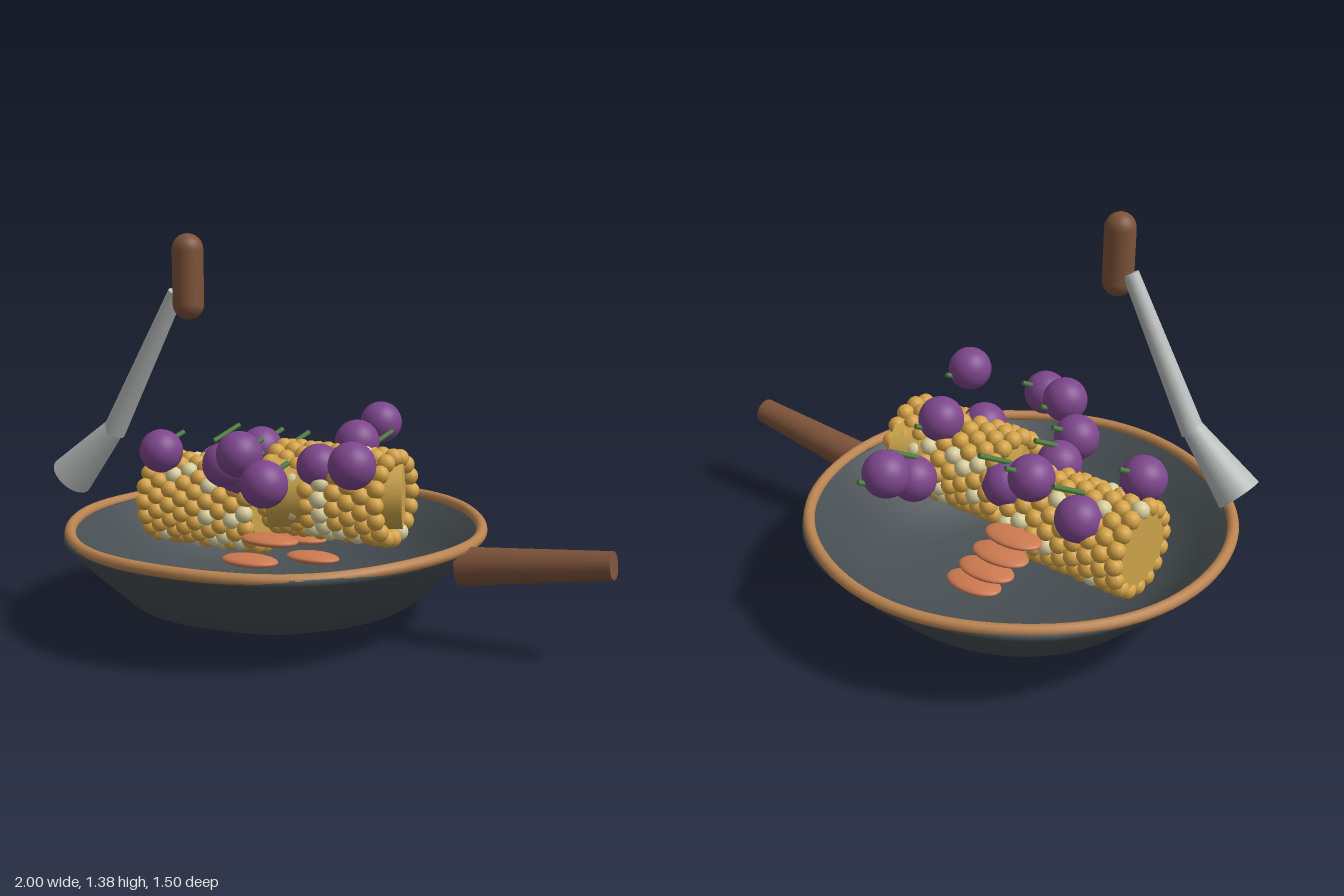
import * as THREE from 'three';
import { mergeGeometries } from 'three/addons/utils/BufferGeometryUtils.js';

const mat = (name, color) => {
  const m = new THREE.MeshStandardMaterial({ color });
  m.name = name;
  return m;
};

export function createModel() {
  const model = new THREE.Group();
  const steel = mat('dark steel', 0x474e52);
  const copper = mat('copper rim', 0xb98350);
  const wood = mat('brown wood', 0x7c5239);
  const metal = mat('light metal', 0xb6bab8);
  const cobGold = mat('cob gold', 0xcba34b);
  const kernelGold = mat('kernel gold', 0xd4a246);
  const kernelPale = mat('kernel pale', 0xd8cd9c);
  const purple = mat('purple skin', 0x7d468c);
  const green = mat('green stem', 0x4c7d40);
  const orange = mat('orange slice', 0xcd7a50);

  const add = (name, geometry, material, parent = model) => {
    const mesh = new THREE.Mesh(geometry, material);
    mesh.name = name;
    parent.add(mesh);
    return mesh;
  };

  // Tapered round bar between two points
  const bar = (name, from, to, r0, r1, material, sides = 24) => {
    const a = new THREE.Vector3(...from), b = new THREE.Vector3(...to);
    const dir = b.clone().sub(a);
    const mesh = add(name, new THREE.CylinderGeometry(r1, r0, dir.length(), sides), material);
    mesh.position.copy(a).add(b).multiplyScalar(0.5);
    mesh.quaternion.setFromUnitVectors(new THREE.Vector3(0, 1, 0), dir.normalize());
    return mesh;
  };

  // Pan bowl: outside wall up, over the lip and down the inside, slightly hand-beaten
  const profile = [
    [0, 0], [0.1, 0.002], [0.35, 0.04], [0.52, 0.1], [0.64, 0.215], [0.74, 0.32], [0.735, 0.34],
    [0.71, 0.335], [0.62, 0.24], [0.5, 0.13], [0.34, 0.07], [0.1, 0.035], [0, 0.03],
  ].map(([x, y]) => new THREE.Vector2(x, y));
  const bowl = new THREE.LatheGeometry(profile, 64);
  const p = bowl.attributes.position;
  for (let i = 0; i < p.count; i++) {
    const x = p.getX(i), z = p.getZ(i), angle = Math.atan2(z, x);
    const s = 1 - 0.02 * Math.cos(4 * angle) * Math.hypot(x, z);
    p.setX(i, x * s);
    p.setZ(i, z * (s + 0.012));
  }
  add('panBowl', bowl, steel).position.x = -0.25;

  // Gently wavy rim
  const rim = new THREE.TorusGeometry(0.73, 0.02, 12, 80).rotateX(Math.PI / 2);
  const rp = rim.attributes.position;
  for (let i = 0; i < rp.count; i++) {
    const angle = Math.atan2(rp.getZ(i), rp.getX(i));
    rp.setY(i, rp.getY(i) + 0.004 * Math.sin(5 * angle));
  }
  add('panRim', rim, copper).position.set(-0.25, 0.34, 0);

  bar('panHandle', [0.465, 0.275, 0], [0.99, 0.34, -0.015], 0.066, 0.047, wood, 32);

  // Serving spoon: grip, shaft and flared end
  const grip = add('spoonGrip', new THREE.CapsuleGeometry(0.053, 0.184, 6, 24), wood);
  grip.position.set(-0.418, 1.235, 0.292);
  bar('spoonShaft', [-0.74, 0.68, 0.295], [-0.468, 1.18, 0.29], 0.04, 0.028, metal);
  bar('spoonFlare', [-0.925, 0.505, 0.302], [-0.73, 0.7, 0.295], 0.078, 0.036, metal);

  // Corn cobs: a smooth core wrapped in staggered rings of kernels
  let seed = 7;
  const rand = () => (seed = (seed * 16807) % 2147483647) / 2147483647;
  const kernel = new THREE.SphereGeometry(0.032, 10, 8);
  const cob = (name, x, y, z, coreYaw) => {
    const group = new THREE.Group();
    group.name = name;
    group.position.set(x, y, z);
    model.add(group);
    const core = add('cobCore', new THREE.CylinderGeometry(0.125, 0.13, 0.47, 32), cobGold, group);
    core.rotation.set(0, coreYaw, -Math.PI / 2, 'YXZ');
    const gold = [], pale = [];
    const rings = 9, around = 16;
    for (let i = 0; i < rings; i++) {
      for (let j = 0; j < around; j++) {
        const a = ((j + (i % 2) / 2) / around) * Math.PI * 2;
        const g = kernel.clone().translate(
          (i / (rings - 1) - 0.5) * 0.43, Math.cos(a) * 0.142, Math.sin(a) * 0.142);
        (rand() < 0.2 ? pale : gold).push(g);
      }
    }
    add('goldKernels', mergeGeometries(gold), kernelGold, group);
    add('paleKernels', mergeGeometries(pale), kernelPale, group);
  };
  cob('leftCob', -0.535, 0.39, -0.03, 0);
  cob('rightCob', -0.02, 0.475, -0.03, 0.36);

  // Round purple fruit, with stems all at one height
  const fruit = new THREE.SphereGeometry(0.079, 28, 20);
  [
    [-0.09, 0.645, -0.51], [-0.02, 0.51, -0.295], [-0.59, 0.495, -0.145], [-0.4, 0.58, -0.145],
    [-0.28, 0.51, -0.13], [0.02, 0.645, -0.1], [-0.69, 0.58, 0.08], [-0.36, 0.53, 0.07],
    [-0.045, 0.58, 0.06], [-0.35, 0.58, 0.185], [-0.225, 0.645, 0.29], [0.2, 0.645, 0.285],
    [-0.06, 0.58, 0.405],
  ].forEach(([x, y, z]) => {
    add('fruit', fruit, purple).position.set(x, y, z);
    bar('fruitStem', [x - 0.01, 0.59, z + 0.01], [x + 0.04, 0.64, z - 0.09], 0.009, 0.009, green, 8);
  });

  // Flat oval slices in two stepped stacks
  const slice = new THREE.SphereGeometry(1, 28, 14).scale(0.108, 0.02, 0.065);
  [
    [-0.39, 0.39, -0.225], [-0.345, 0.31, -0.235], [-0.29, 0.23, -0.24], [-0.24, 0.16, -0.245],
    [-0.15, 0.342, 0.222], [-0.23, 0.26, 0.222],
  ].forEach((pos) => add('slice', slice, orange).position.set(...pos));

  return model;
}
